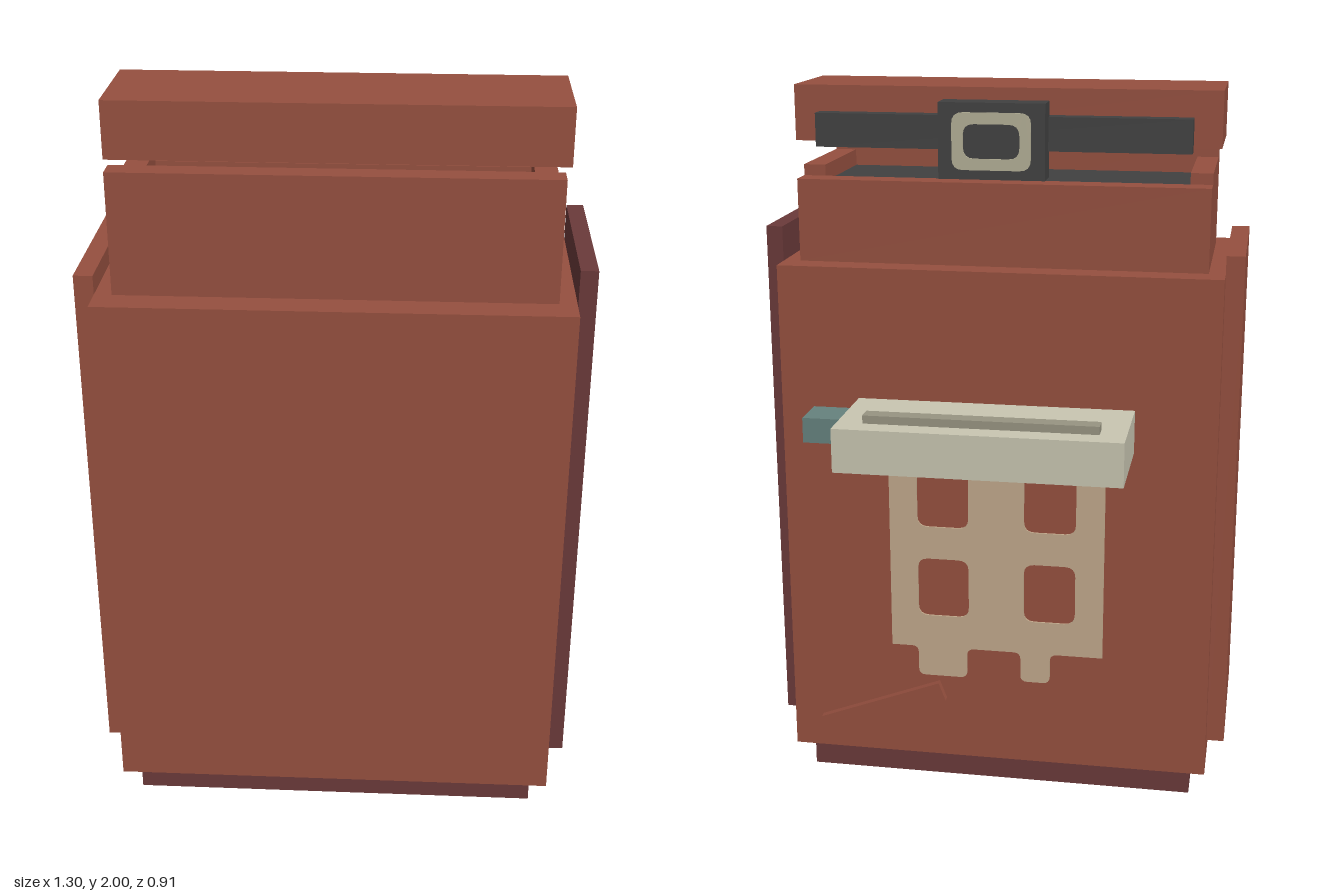
import * as THREE from 'three';

const mat = (name, color) => {
  const m = new THREE.MeshStandardMaterial({ color });
  m.name = name;
  return m;
};

// Rounded rectangle outline, for plates and for holes
function roundedRect(target, x0, y0, x1, y1, r) {
  target.moveTo(x0 + r, y0);
  target.lineTo(x1 - r, y0);
  target.quadraticCurveTo(x1, y0, x1, y0 + r);
  target.lineTo(x1, y1 - r);
  target.quadraticCurveTo(x1, y1, x1 - r, y1);
  target.lineTo(x0 + r, y1);
  target.quadraticCurveTo(x0, y1, x0, y1 - r);
  target.lineTo(x0, y0 + r);
  target.quadraticCurveTo(x0, y0, x0 + r, y0);
  return target;
}

export function createModel() {
  const model = new THREE.Group();
  model.name = 'canister';

  const brick = mat('brick red', 0x96503f);
  const maroon = mat('dark maroon', 0x6b3a3a);
  const charcoal = mat('charcoal', 0x414141);
  const cream = mat('cream', 0xc9c6b2);
  const drab = mat('drab grey', 0x989582);
  const teal = mat('dull teal', 0x66827e);
  const tan = mat('tan', 0xc2a98c);
  const buckleBeige = mat('buckle beige', 0xb4b097);

  // Box given by its limits on each axis
  const box = (name, material, [x0, x1], [y0, y1], [z0, z1]) => {
    const mesh = new THREE.Mesh(new THREE.BoxGeometry(x1 - x0, y1 - y0, z1 - z0), material);
    mesh.position.set((x0 + x1) / 2, (y0 + y1) / 2, (z0 + z1) / 2);
    mesh.name = name;
    model.add(mesh);
    return mesh;
  };
  // Thin plate lying on a back-facing surface at depth z
  const plate = (name, material, shape, z) => {
    const geo = new THREE.ExtrudeGeometry(shape, { depth: 0.005, bevelEnabled: false, curveSegments: 4 });
    const mesh = new THREE.Mesh(geo, material);
    mesh.position.z = z - 0.005;
    mesh.name = name;
    model.add(mesh);
  };

  // Main body, foot and side panels
  box('base', maroon, [-0.56, 0.56], [0, 0.085], [-0.125, 0.41]);
  box('body', brick, [-0.605, 0.605], [0.085, 1.53], [-0.165, 0.455]);
  box('leftSidePanel', maroon, [0.605, 0.65], [0.17, 1.625], [-0.1, 0.39]);
  box('rightSidePanel', brick, [-0.655, -0.605], [0.16, 1.58], [-0.095, 0.375]);

  // Open collar with a dark floor
  box('collarFront', brick, [-0.56, 0.56], [1.53, 1.85], [0.315, 0.375]);
  box('collarBack', brick, [-0.56, 0.56], [1.53, 1.755], [-0.09, -0.02]);
  box('collarLeft', brick, [0.5, 0.56], [1.53, 1.785], [-0.02, 0.315]);
  box('collarRight', brick, [-0.56, -0.5], [1.53, 1.785], [-0.02, 0.315]);
  box('collarFloor', charcoal, [-0.5, 0.5], [1.53, 1.74], [-0.02, 0.315]);

  // Floating lid with strap and buckle
  box('lid', brick, [-0.58, 0.58], [1.85, 2], [-0.02, 0.275]);
  box('strap', charcoal, [-0.505, 0.51], [1.84, 1.93], [-0.07, -0.02]);
  box('buckle', charcoal, [-0.125, 0.16], [1.77, 1.97], [-0.13, -0.05]);
  const ring = roundedRect(new THREE.Shape(), -0.088, 1.795, 0.123, 1.945, 0.03);
  ring.holes.push(roundedRect(new THREE.Path(), -0.058, 1.825, 0.093, 1.915, 0.03));
  plate('buckleRing', buckleBeige, ring, -0.13);

  // Shelf on the back
  box('shelf', cream, [-0.38, 0.385], [1.045, 1.165], [-0.46, -0.165]);
  box('shelfSlot', drab, [-0.31, 0.315], [1.165, 1.187], [-0.4, -0.355]);
  box('shelfKnob', teal, [0.385, 0.515], [1.065, 1.135], [-0.28, -0.165]);

  // Painted patch with windows and hanging tabs
  const patch = new THREE.Shape();
  patch.moveTo(-0.305, 1.045);
  patch.lineTo(-0.305, 0.43);
  for (const [a, b] of [[-0.155, -0.07], [0.085, 0.227]]) {
    patch.lineTo(a - 0.02, 0.43);
    patch.quadraticCurveTo(a, 0.43, a, 0.41);
    patch.lineTo(a, 0.36);
    patch.quadraticCurveTo(a, 0.34, a + 0.02, 0.34);
    patch.lineTo(b - 0.02, 0.34);
    patch.quadraticCurveTo(b, 0.34, b, 0.36);
    patch.lineTo(b, 0.41);
    patch.quadraticCurveTo(b, 0.43, b + 0.02, 0.43);
  }
  patch.lineTo(0.305, 0.43);
  patch.lineTo(0.305, 1.045);
  for (const x of [-0.152, 0.152])
    for (const y of [0.615, 0.885])
      patch.holes.push(roundedRect(new THREE.Path(), x - 0.073, y - 0.087, x + 0.073, y + 0.087, 0.03));
  plate('backPatch', tan, patch, -0.165);

  // Tilted strip low on the back
  const strip = box('tiltedStrip', brick, [0.144, 0.522], [0.2, 0.257], [-0.187, -0.165]);
  strip.rotation.z = -0.365;

  return model;
}
